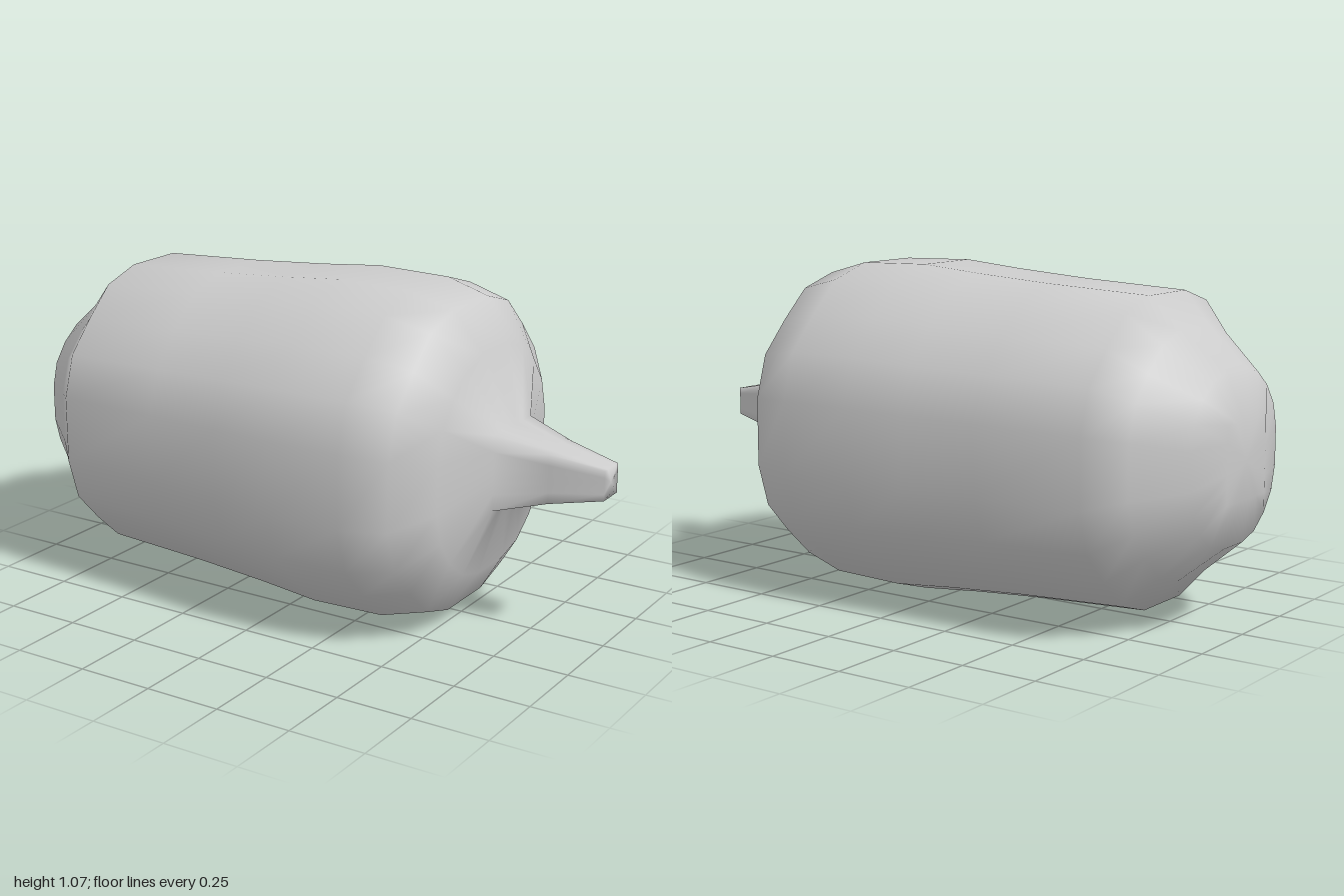
import * as THREE from 'three';

// One quadrant of the cross-section as [degrees, roundness factor]; the middle one is the corner.
const QUADRANT = [[12.6, 1.025], [29, 1.045], [45, 1.015], [61, 1.045], [77.4, 1.025]];
const SECTION = [0, 90, 180, 270].flatMap(q =>
  QUADRANT.map(([a, f]) => [THREE.MathUtils.degToRad(q + a), f]));
const CENTER_Y = 0.54;

// Smooth closed skin over rings [x, radius, squareness] ordered by rising x.
function loft(rings) {
  const n = SECTION.length, pos = [], idx = [];
  for (const [x, r, square] of rings) {
    for (const [a, f] of SECTION) {
      const c = Math.cos(a), s = Math.sin(a);
      const onSquare = r / Math.max(Math.abs(c), Math.abs(s));
      const d = THREE.MathUtils.lerp(r * f, onSquare, square);
      pos.push(x, CENTER_Y + d * s, d * c);
    }
  }
  // End centres
  const last = (rings.length - 1) * n, tail = rings.length * n, tip = tail + 1;
  pos.push(rings[0][0], CENTER_Y, 0, rings[rings.length - 1][0], CENTER_Y, 0);
  for (let j = 0; j < n; j++) {
    const k = (j + 1) % n;
    for (let a = 0; a < last; a += n) {
      const b = a + n;
      idx.push(a + j, b + j, b + k, a + j, b + k, a + k);
    }
    idx.push(tail, j, k, tip, last + k, last + j);
  }
  const geo = new THREE.BufferGeometry();
  geo.setAttribute('position', new THREE.Float32BufferAttribute(pos, 3));
  geo.setIndex(idx);
  geo.computeVertexNormals();
  return geo;
}

export function createModel() {
  const group = new THREE.Group();
  const material = new THREE.MeshStandardMaterial({ color: 0xcccccc });

  // Rounded barrel running into a tapered square nozzle
  const body = new THREE.Mesh(loft([
    [-1.0, 0.12, 1],
    [-0.96, 0.268, 0.1],
    [-0.82, 0.382, 0],
    [-0.72, 0.483, 0],
    [-0.36, 0.5, 0],
    [-0.1, 0.518, 0],
    [0.11, 0.537, 0],
    [0.36, 0.531, 0],
    [0.51, 0.49, 0],
    [0.6, 0.354, 0.1],
    [0.665, 0.122, 1],
    [0.83, 0.079, 1],
    [1.0, 0.047, 1],
  ]), material);
  body.name = 'bodyWithNozzle';
  group.add(body);

  return group;
}
